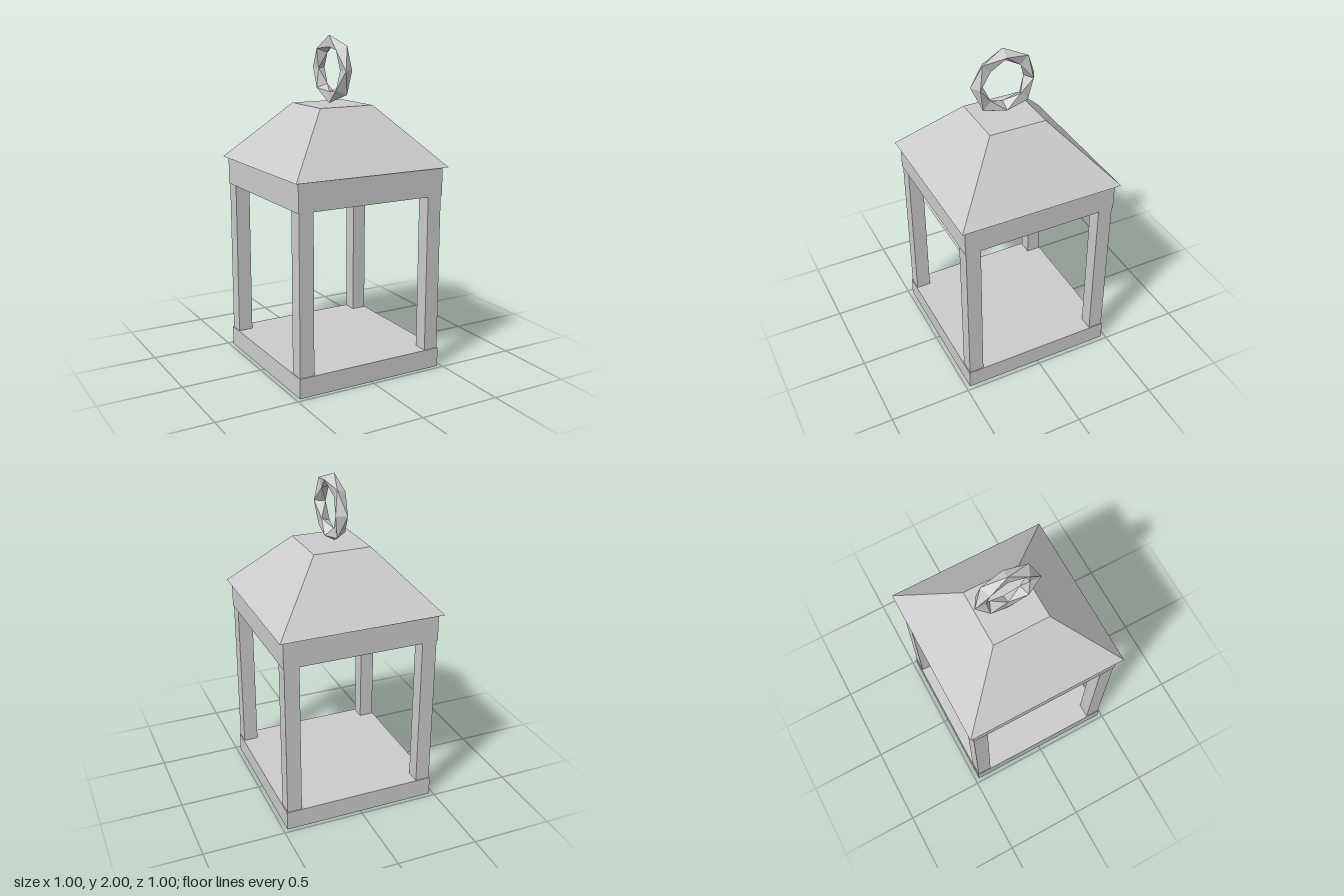
import * as THREE from 'three';

const grey = new THREE.MeshStandardMaterial({ color: 0xcccccc, flatShading: true });
grey.name = 'light grey';

function add(parent, name, geometry, x = 0, y = 0, z = 0) {
  const mesh = new THREE.Mesh(geometry, grey);
  mesh.name = name;
  mesh.position.set(x, y, z);
  parent.add(mesh);
  return mesh;
}

// Faceted ring around the x axis: triangular sections, every second one
// flipped, joined by alternating triangles.
function facetedRing(radius, tube, sections) {
  const point = (section, corner) => {
    const around = (section / sections) * Math.PI * 2;
    const a = (corner * Math.PI) / 3; // corner counted in sixths of a turn
    const r = radius + tube * Math.sin(a);
    return [tube * Math.cos(a), r * Math.cos(around), r * Math.sin(around)];
  };
  const positions = [];
  for (let s = 0; s < sections; s++) {
    const odd = s % 2;
    for (let k = 0; k < 3; k++) {
      const c = 2 * k + odd;
      positions.push(...point(s, c), ...point(s, c + 2), ...point(s + 1, c + 1));
      positions.push(...point(s, c), ...point(s + 1, c + 1), ...point(s + 1, c - 1));
    }
  }
  const geometry = new THREE.BufferGeometry();
  geometry.setAttribute('position', new THREE.Float32BufferAttribute(positions, 3));
  geometry.computeVertexNormals();
  return geometry;
}

export function createModel() {
  const lantern = new THREE.Group();
  lantern.name = 'lantern';

  // Floor slab and upper frame block
  add(lantern, 'base', new THREE.BoxGeometry(0.95, 0.12, 0.95), 0, 0.06, 0);
  add(lantern, 'upperFrame', new THREE.BoxGeometry(0.95, 0.175, 0.95), 0, 1.1625, 0);

  // Four corner posts
  const posts = new THREE.Group();
  posts.name = 'cornerPosts';
  for (const x of [-1, 1]) {
    for (const z of [-1, 1]) {
      add(posts, 'cornerPost', new THREE.BoxGeometry(0.09, 0.955, 0.09), x * 0.425, 0.5975, z * 0.425);
    }
  }
  lantern.add(posts);

  // Overhanging four-sided roof with a flat top
  const roof = new THREE.CylinderGeometry(0.175 * Math.SQRT2, 0.5 * Math.SQRT2, 0.35, 4);
  roof.rotateY(Math.PI / 4);
  add(lantern, 'roof', roof, 0, 1.42, 0);

  // Carrying ring standing on the roof
  add(lantern, 'carryingRing', facetedRing(0.165, 0.04, 8), 0, 1.8, 0);

  return lantern;
}
